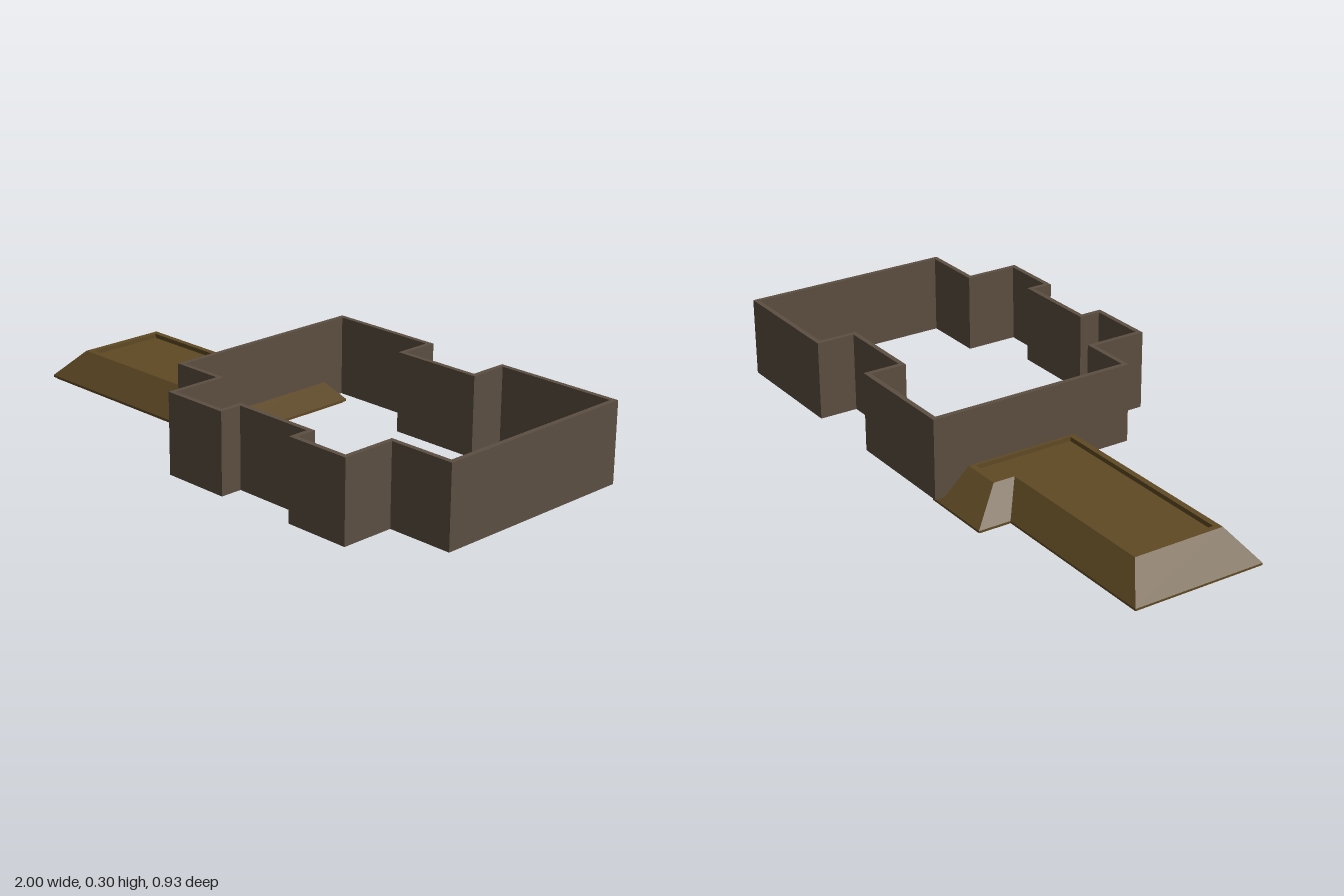
import * as THREE from 'three';

const wallMat = new THREE.MeshStandardMaterial({ color: 0x5c4e41 });
const roofMat = new THREE.MeshStandardMaterial({ color: 0x604a24 });

// Moves every edge of a right-angled, counter-clockwise outline inward by t
function insetOutline(pts, t) {
  const n = pts.length;
  return pts.map((p, i) => {
    const a = p.clone().sub(pts[(i + n - 1) % n]).normalize();
    const b = pts[(i + 1) % n].clone().sub(p).normalize();
    return new THREE.Vector2(p.x - t * (a.y + b.y), p.y + t * (a.x + b.x));
  });
}

// Stacks outlines ({ y, pts }) into a closed solid with flat faces
function loftOutlines(rings) {
  const pos = [];
  const add = (ring, i) => pos.push(ring.pts[i].x, ring.y, -ring.pts[i].y);
  for (let k = 0; k < rings.length - 1; k++) {
    const lo = rings[k], hi = rings[k + 1], n = lo.pts.length;
    for (let i = 0; i < n; i++) {
      const j = (i + 1) % n;
      add(lo, i); add(lo, j); add(hi, j);
      add(lo, i); add(hi, j); add(hi, i);
    }
  }
  const first = rings[0], last = rings[rings.length - 1];
  for (const [a, b, c] of THREE.ShapeUtils.triangulateShape(first.pts, [])) {
    add(first, a); add(first, c); add(first, b);
  }
  for (const [a, b, c] of THREE.ShapeUtils.triangulateShape(last.pts, [])) {
    add(last, a); add(last, b); add(last, c);
  }
  const geo = new THREE.BufferGeometry();
  geo.setAttribute('position', new THREE.Float32BufferAttribute(pos, 3));
  geo.computeVertexNormals();
  return geo;
}

const toOutline = (xz) => xz.map(([x, z]) => new THREE.Vector2(x, -z));

// Hollow wall following a stepped floor plan
function makeWalls() {
  const outer = toOutline([
    [-0.16, 0.27], [0.022, 0.27], [0.022, 0.463], [0.26, 0.463],
    [0.26, 0.388], [0.543, 0.388], [0.543, 0.458], [0.77, 0.458],
    [0.77, 0.272], [0.997, 0.272], [0.997, -0.465], [0.543, -0.465],
    [0.543, -0.332], [0.256, -0.332], [0.256, -0.46], [-0.16, -0.46],
  ]);
  const shape = new THREE.Shape(outer);
  shape.holes.push(new THREE.Path(insetOutline(outer, 0.017).reverse()));
  const geo = new THREE.ExtrudeGeometry(shape, { depth: 0.27, bevelEnabled: false });
  geo.rotateX(-Math.PI / 2);
  geo.translate(0, 0.028, 0);
  const mesh = new THREE.Mesh(geo, wallMat);
  mesh.name = 'perimeterWall';
  return mesh;
}

// Low L-shaped hipped roof with a thin eave and a sunken flat top
function makeRoof() {
  const eave = toOutline([
    [-1, 0.13], [-0.12, 0.13], [-0.12, -0.443],
    [-0.378, -0.443], [-0.378, -0.33], [-1, -0.33],
  ]);
  const crown = toOutline([
    [-0.902, 0.057], [-0.15, 0.057], [-0.15, -0.337],
    [-0.298, -0.337], [-0.298, -0.261], [-0.902, -0.261],
  ]);
  const base = insetOutline(eave, 0.008);
  const rim = insetOutline(crown, 0.02);
  const mesh = new THREE.Mesh(loftOutlines([
    { y: 0, pts: base },
    { y: 0.006, pts: base },
    { y: 0.006, pts: eave },
    { y: 0.013, pts: eave },
    { y: 0.11, pts: crown },
    { y: 0.11, pts: rim },
    { y: 0.095, pts: rim },
  ]), roofMat);
  mesh.name = 'hippedRoof';
  return mesh;
}

export function createModel() {
  const group = new THREE.Group();
  group.name = 'buildingShell';
  group.add(makeWalls(), makeRoof());
  return group;
}
